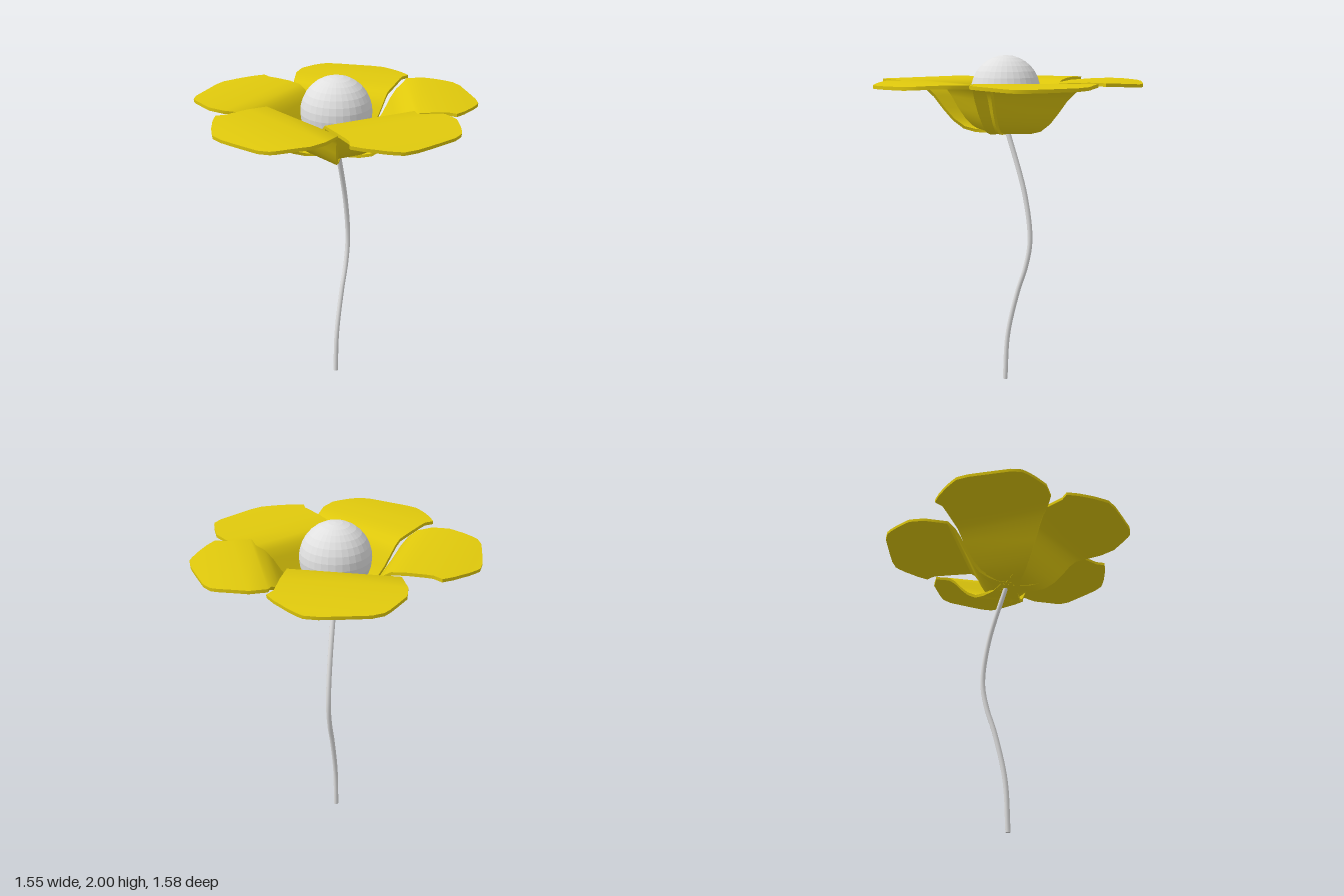
import * as THREE from 'three';
import { toCreasedNormals } from 'three/addons/utils/BufferGeometryUtils.js';

// Cup of a petal: distance outward, height, right edge, left edge
const CUP = [
  [-0.04, 1.566, -0.05, 0.06],
  [0.05, 1.568, -0.07, 0.09],
  [0.12, 1.572, -0.095, 0.14],
  [0.18, 1.59, -0.12, 0.185],
  [0.23, 1.636, -0.145, 0.23],
  [0.275, 1.7, -0.17, 0.27],
  [0.315, 1.77, -0.19, 0.31],
  [0.35, 1.815, -0.2, 0.345],
  [0.39, 1.84, -0.205, 0.385],
];
// Flat blade of a petal, same columns
const BLADE = [
  [0.44, 1.85, -0.208, 0.43],
  [0.535, 1.853, -0.206, 0.434],
  [0.58, 1.853, -0.206, 0.415],
  [0.63, 1.852, -0.23, 0.393],
  [0.68, 1.849, -0.18, 0.367],
  [0.71, 1.847, -0.14, 0.346],
  [0.74, 1.844, -0.1, 0.29],
  [0.77, 1.841, -0.05, 0.136],
  [0.785, 1.84, -0.02, 0.05],
];

// Bent slab: four-cornered cross-sections, thickened along the profile normal.
// cupScale sets how far out the cup reaches before the blade begins.
function petalGeometry(half, cupScale) {
  const stations = [...CUP.map(([u, ...rest]) => [u * cupScale, ...rest]), ...BLADE];
  const rings = stations.map(([u, y, right, left], i) => {
    const a = stations[Math.max(i - 1, 0)];
    const b = stations[Math.min(i + 1, stations.length - 1)];
    const n = new THREE.Vector2(a[1] - b[1], b[0] - a[0]).normalize().multiplyScalar(half);
    const corner = (side, v) => [u + n.x * side, y + n.y * side, -v];
    return [corner(1, right), corner(1, left), corner(-1, left), corner(-1, right)];
  });
  const pos = [];
  const quad = (a, b, c, d) => pos.push(...a, ...b, ...c, ...a, ...c, ...d);
  for (let i = 0; i < rings.length - 1; i++) {
    for (let k = 0; k < 4; k++) {
      const m = (k + 1) % 4;
      quad(rings[i][k], rings[i + 1][k], rings[i + 1][m], rings[i][m]);
    }
  }
  const end = rings[rings.length - 1];
  quad(...rings[0]);
  quad(end[3], end[2], end[1], end[0]);
  const geo = new THREE.BufferGeometry();
  geo.setAttribute('position', new THREE.Float32BufferAttribute(pos, 3));
  return toCreasedNormals(geo, 0.6);
}

export function createModel() {
  const model = new THREE.Group();
  const yellow = new THREE.MeshStandardMaterial({ color: 0xe0c90c });
  yellow.name = 'petalYellow';
  const grey = new THREE.MeshStandardMaterial({ color: 0xe0e0e0 });
  grey.name = 'paleGrey';

  const add = (name, geo, mat) => {
    const mesh = new THREE.Mesh(geo, mat);
    mesh.name = name;
    model.add(mesh);
    return mesh;
  };

  // Five petals, unevenly spaced: heading in degrees, cup reach
  [[25, 1.08], [92, 0.78], [173.4, 0.93], [244.4, 0.82], [319, 0.77]].forEach(([deg, cup], i) => {
    const petal = add('petal' + (i + 1), petalGeometry(0.009, cup), yellow);
    petal.rotation.y = THREE.MathUtils.degToRad(deg);
    petal.position.x = 0.01;
  });

  // Round flower centre with visible facets
  const ball = toCreasedNormals(new THREE.SphereGeometry(0.2, 32, 16), 0.02);
  add('flowerCentre', ball, grey).position.set(0.012, 1.8, -0.007);

  // Curved stem
  const path = new THREE.CatmullRomCurve3([
    [0.012, 0, -0.004], [0.013, 0.3, -0.022], [0.019, 0.6, -0.09], [0.023, 0.75, -0.138],
    [0.024, 0.92, -0.166], [0.021, 1.2, -0.13], [0.015, 1.56, -0.022], [0.013, 1.62, -0.005],
  ].map((p) => new THREE.Vector3(...p)));
  add('stem', new THREE.TubeGeometry(path, 40, 0.015, 12), grey);

  // Cap closing the foot of the stem
  const cap = add('stemFoot', new THREE.CircleGeometry(0.015, 12), grey);
  cap.rotation.x = Math.PI / 2;
  cap.position.set(0.012, 0, -0.004);
  return model;
}
